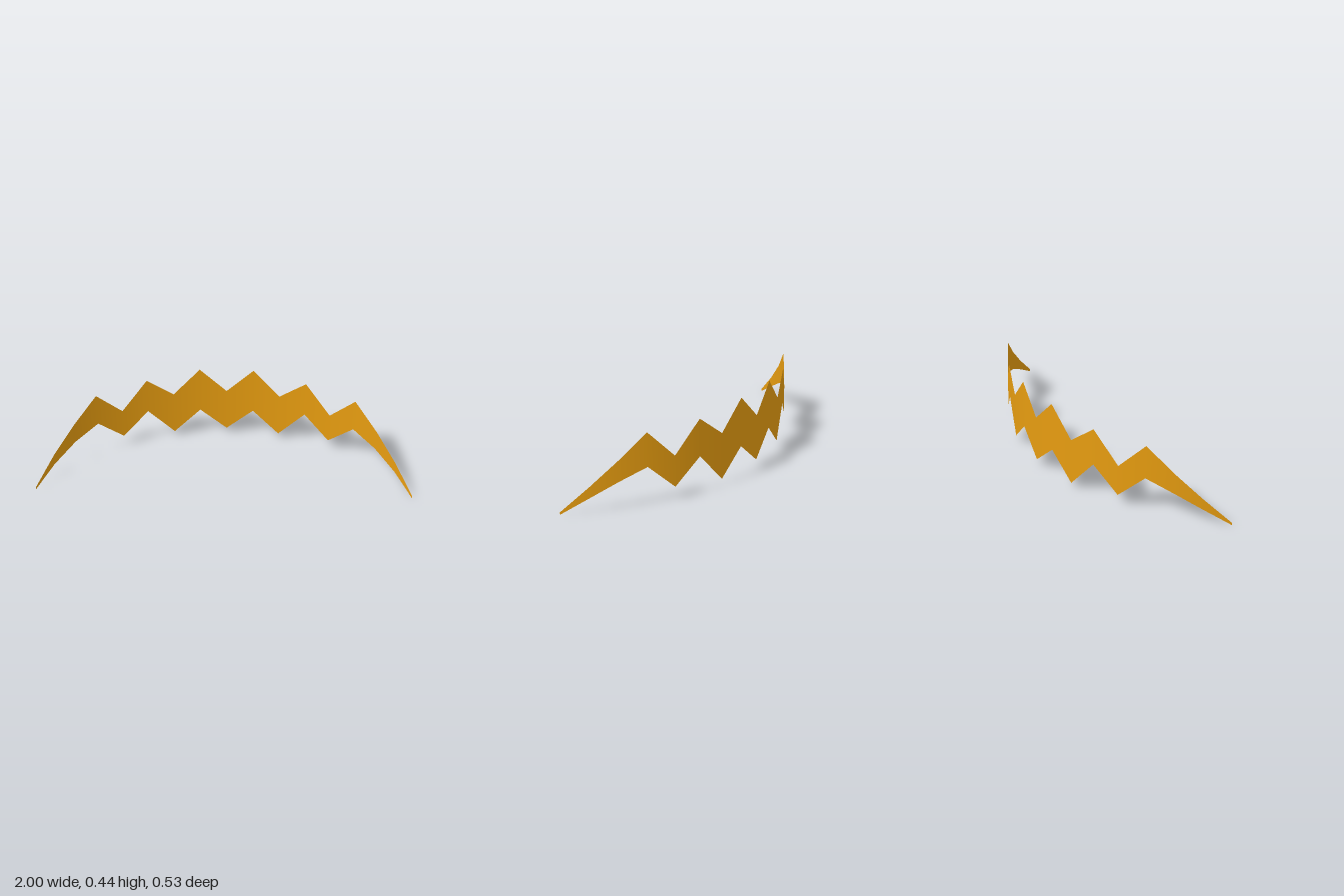
import * as THREE from 'three';

const RADIUS = 1.208;      // radius of the arc the band follows, seen from above
const CENTRE_Z = 0.943;    // centre of that arc
const STEP = 0.1219;       // angle between neighbouring columns

// Top and bottom edge heights, from the middle out to either tip
const TOP = [0.295, 0.44, 0.29, 0.408, 0.245, 0.398, 0.27, 0.143, 0.015];
const BOTTOM = [0.04, 0.17, 0.035, 0.204, 0.075, 0.214, 0.157, 0.084, 0.002];

export function createModel() {
  const group = new THREE.Group();
  group.name = 'zigzagCrown';

  const gold = new THREE.MeshStandardMaterial({ color: 0xe69c10, side: THREE.DoubleSide });
  gold.name = 'gold';

  // Bend a flat grid strip around the arc, with mirrored zigzag edges
  const half = TOP.length - 1;
  const columns = half * 2 + 1;
  const geometry = new THREE.PlaneGeometry(2, 1, half * 2, 1);
  const pos = geometry.attributes.position;
  const normal = geometry.attributes.normal;
  for (let i = 0; i < pos.count; i++) {
    const column = (i % columns) - half;
    const edge = i < columns ? TOP : BOTTOM;
    const angle = column * STEP;
    pos.setXYZ(i, RADIUS * Math.sin(angle), edge[Math.abs(column)], CENTRE_Z - RADIUS * Math.cos(angle));
    // Smooth normals point to the inside of the arc
    normal.setXYZ(i, -Math.sin(angle), 0, Math.cos(angle));
  }

  const band = new THREE.Mesh(geometry, gold);
  band.name = 'zigzagBand';
  group.add(band);
  return group;
}
